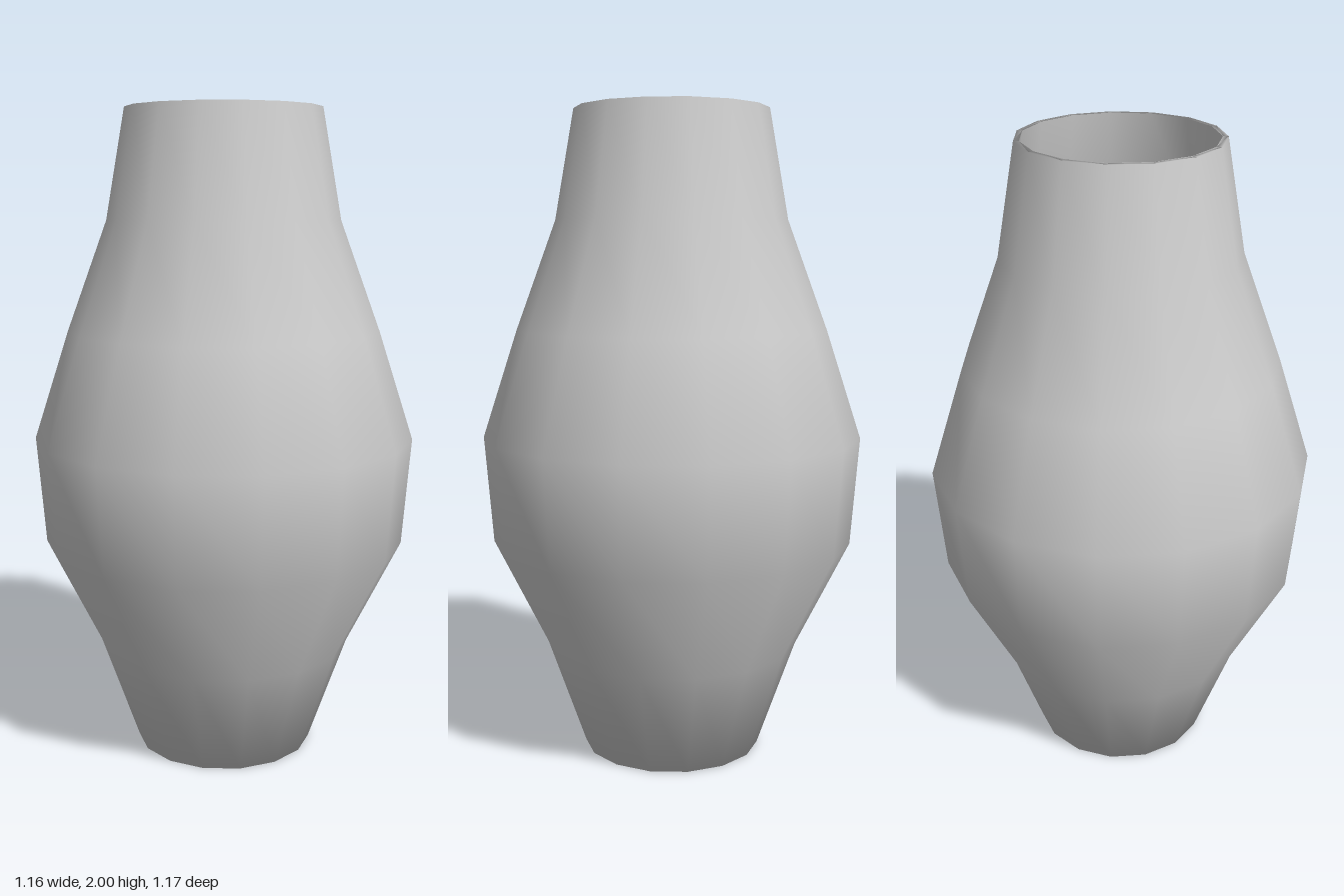
import * as THREE from 'three';

const SIDES = 15;
const WALL = 0.016;

// Outer silhouette as [radius, height], foot to lip
const OUTER = [
  [0.278, 0], [0.396, 0.335], [0.562, 0.667], [0.588, 1],
  [0.48, 1.333], [0.357, 1.667], [0.298, 2],
];

export function createModel() {
  const group = new THREE.Group();
  group.name = 'vase';

  // Closed profile: base centre, outer wall, lip, inner wall, inner floor
  const inner = OUTER.map(([r, y], i) => [r - WALL, i === 0 ? 0.02 : y]).reverse();
  const profile = [[0, 0], ...OUTER, ...inner, [0, 0.02]]
    .map(([r, y]) => new THREE.Vector2(r, y));

  // Faceted outline with smooth normals; one corner points to +x
  const geometry = new THREE.LatheGeometry(profile, SIDES, Math.PI / 2);
  const body = new THREE.Mesh(geometry, new THREE.MeshStandardMaterial({ color: 0xcccccc }));
  body.name = 'vaseBody';
  // An odd number of sides is lopsided in x, so recentre it
  body.position.x = -0.588 * (1 - Math.cos(Math.PI / SIDES)) / 2;
  group.add(body);

  return group;
}
